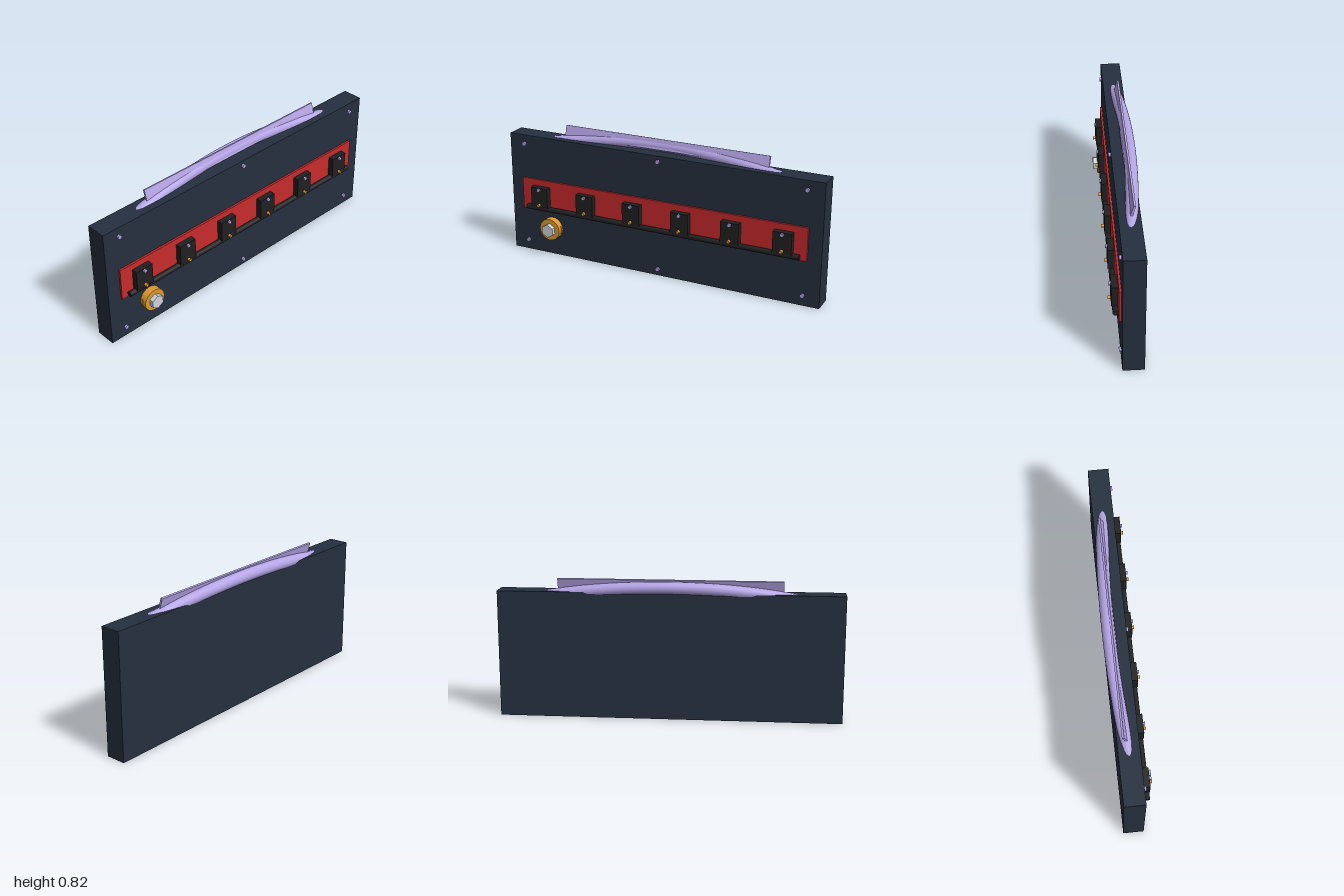
import * as THREE from 'three';

const mat = (color, flatShading = false) => new THREE.MeshStandardMaterial({ color, flatShading });

export function createModel() {
  const model = new THREE.Group();
  const navy = mat(0x252f3e), red = mat(0xc62a2c), black = mat(0x202022);
  const lilac = mat(0xb5a5e6), amber = mat(0xdd9830), steel = mat(0xcfd4d8, true);

  const add = (name, geometry, material, x, y, z) => {
    const mesh = new THREE.Mesh(geometry, material);
    mesh.name = name;
    mesh.position.set(x, y, z);
    model.add(mesh);
    return mesh;
  };
  const box = (name, material, w, h, d, x, y, z) =>
    add(name, new THREE.BoxGeometry(w, h, d), material, x, y, z);
  // Cylinder pointing forward, from z0 to z1
  const stud = (name, material, r, sides, x, y, z0, z1) =>
    add(name, new THREE.CylinderGeometry(r, r, z1 - z0, sides).rotateX(Math.PI / 2),
      material, x, y, (z0 + z1) / 2);

  // Cover slab and raised panel
  box('coverBody', navy, 2, 0.745, 0.12, 0, 0.3725, -0.025);
  box('redPanel', red, 1.836, 0.2, 0.013, 0, 0.375, 0.0405);

  // Cover bolts along the top and bottom edges
  for (const [x, y] of [[-0.9, 0.69], [0, 0.711], [0.9, 0.69], [-0.9, 0.062], [0, 0.04], [0.9, 0.062]])
    stud('coverBolt', lilac, 0.0125, 12, x, y, 0.03, 0.047);

  // Row of ignition coils, each with a bolt and a connector pin
  for (let i = 0; i < 6; i++) {
    const x = (i - 2.5) * 0.313;
    box('coil', black, 0.112, 0.127, 0.038, x, 0.3735, 0.064);
    stud('coilBolt', lilac, 0.011, 12, x, 0.424, 0.08, 0.093);
    stud('coilPin', amber, 0.0095, 12, x, 0.327, 0.08, 0.1);
  }

  // Wiring rail below the coils
  add('wiringRail', new THREE.CylinderGeometry(0.016, 0.016, 1.76, 16).rotateZ(Math.PI / 2),
    black, 0, 0.3, 0.063);

  // Oil filler cap with hexagonal grip and side tabs
  stud('fillerCap', amber, 0.068, 32, -0.72, 0.174, 0.03, 0.078);
  stud('capHexGrip', steel, 0.042, 6, -0.72, 0.174, 0.076, 0.105);
  for (const s of [-1, 1])
    box('capTab', amber, 0.008, 0.048, 0.007, -0.72 + s * 0.065, 0.174, 0.05);

  // Bowed tube rising out of the top face
  const points = [];
  for (let i = -4; i <= 4; i++) {
    const x = i * 0.2;
    points.push(new THREE.Vector3(x, 0.774 - 0.122 * x * x, -0.068 + 0.078 * x * x));
  }
  add('bowedTube', new THREE.TubeGeometry(new THREE.CatmullRomCurve3(points), 48, 0.036, 20),
    lilac, 0, 0, 0);

  // Tilted plate on the top edge
  box('tiltedPlate', lilac, 1.3, 0.064, 0.012, 0, 0.787, -0.043).rotation.x = -0.28;

  return model;
}
